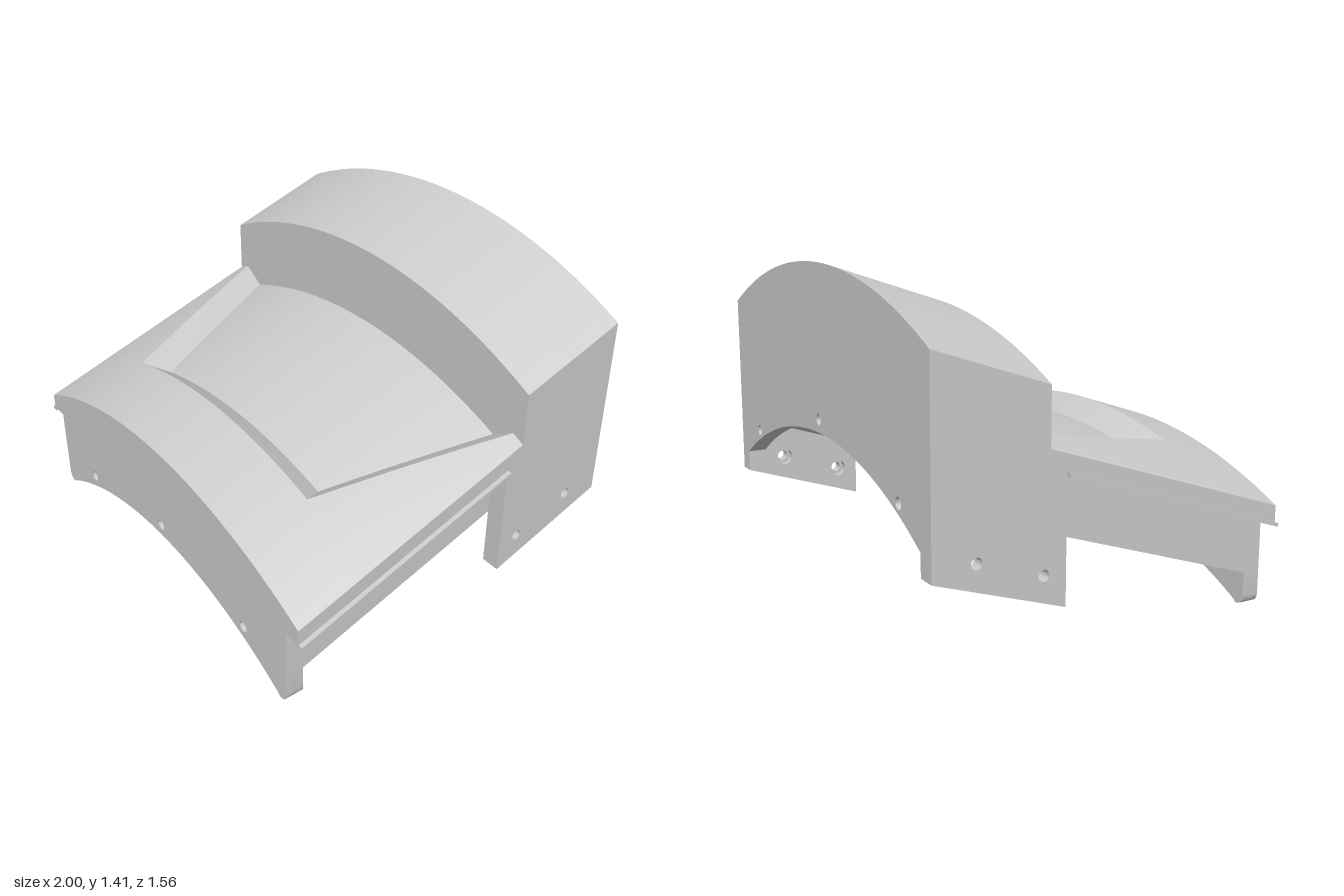
import * as THREE from 'three';
import { toCreasedNormals } from 'three/addons/utils/BufferGeometryUtils.js';

const SLOPE = 0.328, FRONT = 0.78, BACK = -0.78, STEP = -0.305;
const TOP_R = 2.2, UNDER_R = 1.75, SEG = 48;
const material = new THREE.MeshStandardMaterial({ color: 0xcccccc });
const thin = new THREE.MeshStandardMaterial({ color: 0xcccccc, side: THREE.DoubleSide });

const rise = (z) => SLOPE * (FRONT - z);
const arcY = (x, crest, r) => crest - r + Math.sqrt(r * r - x * x);

// Points along an arch from x0 to x1
function arch(x0, x1, crest, r) {
  const pts = [];
  for (let i = 0; i <= SEG; i++) {
    const x = x0 + (x1 - x0) * i / SEG;
    pts.push(new THREE.Vector2(x, arcY(x, crest, r)));
  }
  return pts;
}

const points = (list) => list.map(([x, y]) => new THREE.Vector2(x, y));

// Extrusion between two z values, optionally climbing toward the back
function extrude(pts, z0, z1, { holes = [], radius = 0, sloped = false } = {}) {
  const shape = new THREE.Shape(pts);
  for (const [x, y] of holes) {
    shape.holes.push(new THREE.Path().absarc(x, y, radius, 0, Math.PI * 2, true));
  }
  const geo = new THREE.ExtrudeGeometry(shape, { depth: z1 - z0, bevelEnabled: false, curveSegments: 12 });
  geo.translate(0, 0, z0);
  if (sloped) {
    const p = geo.attributes.position;
    for (let i = 0; i < p.count; i++) p.setY(i, p.getY(i) + rise(p.getZ(i)));
  }
  return toCreasedNormals(geo, 0.5);
}

// Arched cross-section with shoulders overhanging the narrower lower body
function section(crest) {
  return [
    ...arch(0.98, -0.98, crest, TOP_R),
    ...points([[-0.98, 0.365], [-0.9, 0.365]]),
    ...arch(-0.9, 0.9, 0.364, UNDER_R),
    ...points([[0.9, 0.365], [0.98, 0.365]]),
  ];
}

// Four-cornered patch following the arched top; corners are [x, z, depth]
function patch(a, b, c, d) {
  const geo = new THREE.PlaneGeometry(1, 1, SEG, 8);
  const p = geo.attributes.position;
  for (let i = 0; i < p.count; i++) {
    const u = p.getX(i) + 0.5, v = p.getY(i) + 0.5;
    const [x, z, depth] = [0, 1, 2].map((k) =>
      (a[k] * (1 - u) + b[k] * u) * (1 - v) + (d[k] * (1 - u) + c[k] * u) * v);
    p.setXYZ(i, x, arcY(x, 0.665, TOP_R) + rise(z) - depth, z);
  }
  geo.computeVertexNormals();
  return geo;
}

export function createModel() {
  const group = new THREE.Group();
  const add = (name, geo, mat = material) => {
    const mesh = new THREE.Mesh(geo, mat);
    mesh.name = name;
    group.add(mesh);
  };

  // Main arched masses
  add('frontHood', extrude(section(0.665), 0.48, FRONT, { sloped: true }));
  add('rearBlock', extrude(section(0.894), BACK, STEP, { sloped: true }));
  const core = [...arch(0.9, -0.9, 0.55, TOP_R), ...arch(-0.9, 0.9, 0.364, UNDER_R)];
  add('coreShell', extrude(core, STEP, 0.48, { sloped: true }));

  // Recessed panel with slanted walls
  const D = 0.108;
  add('pocketFloor', patch([-0.56, 0.375, D], [0.56, 0.375, D], [0.82, STEP, D], [-0.82, STEP, D]), thin);
  add('pocketFrontWall', patch([-0.63, 0.48, 0], [0.63, 0.48, 0], [0.56, 0.375, D], [-0.56, 0.375, D]), thin);

  for (const s of [1, -1]) {
    const side = s > 0 ? 'left' : 'right';
    add(side + 'PocketWall', patch([s * 0.56, 0.375, D], [s * 0.63, 0.48, 0], [s * 0.925, STEP, 0], [s * 0.82, STEP, D]), thin);
    add(side + 'TopBorder', patch([s * 0.63, 0.48, 0], [s * 0.98, 0.48, 0], [s * 0.98, STEP, 0], [s * 0.925, STEP, 0]), thin);

    // Shoulder below the top border, and the thin lip along it
    const bar = (x0, x1, y0, y1) => points([[s * x0, y0], [s * x1, y0], [s * x1, y1], [s * x0, y1]]);
    add(side + 'Shoulder', extrude(bar(0.88, 0.98, 0.365, 0.435), STEP, 0.48, { sloped: true }));
    add(side + 'Lip', extrude(bar(0.97, 1.0, 0.35, 0.366), -0.235, FRONT, { sloped: true }));

    // Rear side foot with countersunk holes, drawn in z and y
    const foot = points([
      [BACK, -0.138 + rise(BACK)], [-0.235, -0.138 + rise(-0.235)],
      [-0.235, 0.367 + rise(-0.235)], [BACK, 0.367 + rise(BACK)],
    ]);
    const holes = [[-0.33, 0.33], [-0.605, 0.42]];
    for (const [name, x0, x1, radius] of [['FootOuter', 0.93, 0.98, 0.023], ['FootInner', 0.9, 0.93, 0.037]]) {
      const geo = s > 0 ? extrude(foot, -x1, -x0, { holes, radius }) : extrude(foot, x0, x1, { holes, radius });
      add(side + name, geo.rotateY(-Math.PI / 2));
    }
  }

  // Front flange: rounded toes, wider hole mouths on the inside
  const toe = [[0.9, 0.04], [0.897, 0.022], [0.888, 0.009], [0.875, 0.002], [0.86, 0]];
  const frontFlange = [
    ...arch(0.9, -0.9, 0.42, UNDER_R),
    ...points(toe.map(([x, y]) => [-x, y])),
    ...arch(-0.845, 0.845, 0.23, UNDER_R),
    ...points([...toe].reverse()),
  ];
  const frontHoles = [[0, 0.285], [0.615, 0.175], [-0.615, 0.175]];
  add('frontFlangeOuter', extrude(frontFlange, 0.73, FRONT, { holes: frontHoles, radius: 0.024 }));
  add('frontFlangeInner', extrude(frontFlange, 0.7, 0.73, { holes: frontHoles, radius: 0.038 }));

  // Rear flange
  const rearFlange = [...arch(0.9, -0.9, 0.9, UNDER_R), ...arch(-0.9, 0.9, 0.72, 1.72)];
  const rearHoles = [[0, 0.775], [0.73, 0.6], [-0.73, 0.6]];
  add('rearFlangeOuter', extrude(rearFlange, BACK, -0.73, { holes: rearHoles, radius: 0.024 }));
  add('rearFlangeInner', extrude(rearFlange, -0.73, -0.7, { holes: rearHoles, radius: 0.038 }));

  return group;
}
